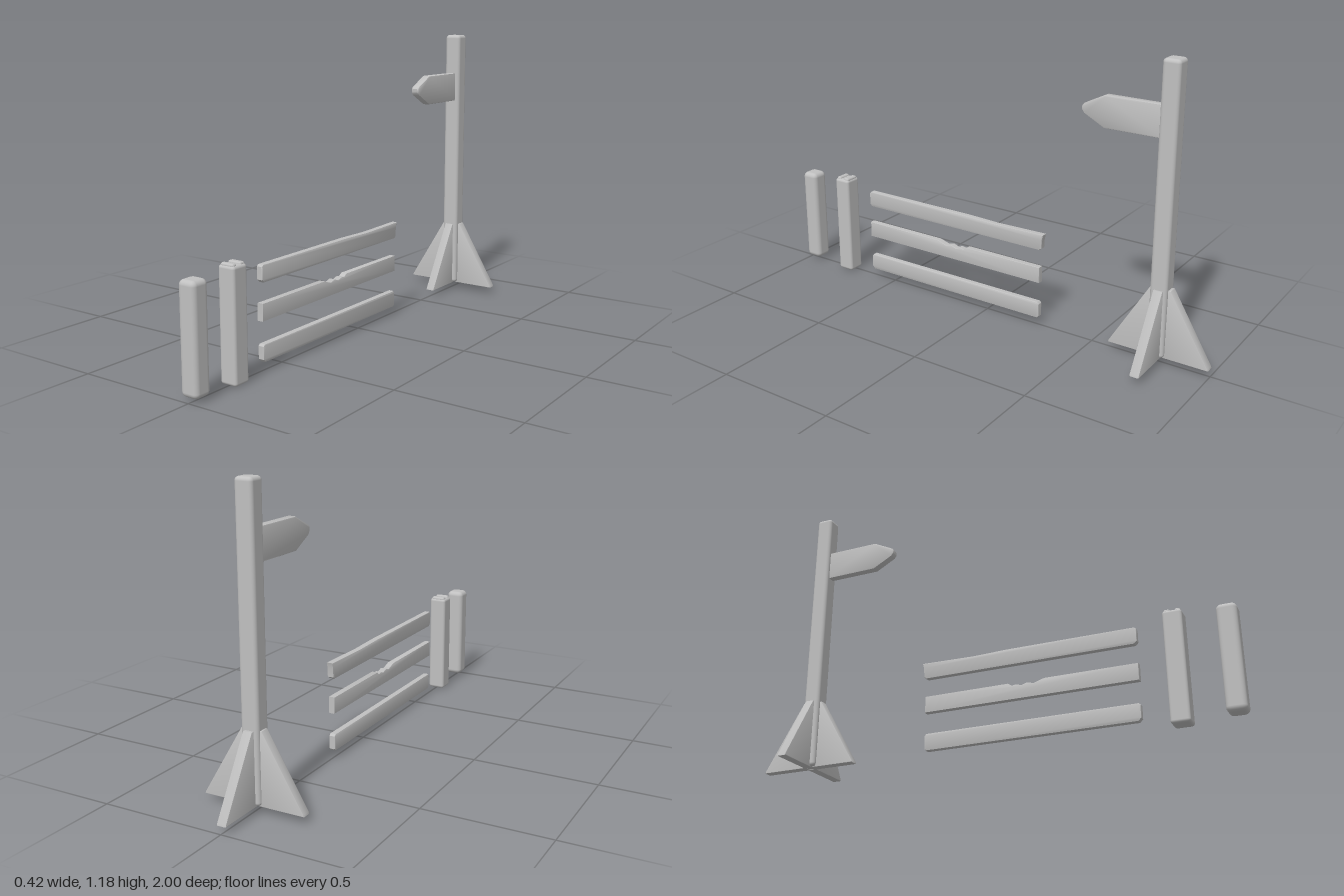
import * as THREE from 'three';
import { toCreasedNormals } from 'three/addons/utils/BufferGeometryUtils.js';
import { RoundedBoxGeometry } from 'three/addons/geometries/RoundedBoxGeometry.js';

export function createModel() {
  const group = new THREE.Group();
  const grey = new THREE.MeshStandardMaterial({ color: 0xc0c0c0 });
  grey.name = 'plainGrey';

  const add = (name, geometry, parent = group) => {
    const mesh = new THREE.Mesh(geometry, grey);
    mesh.name = name;
    parent.add(mesh);
    return mesh;
  };

  // Plate with a side outline of [z, y] points, centred on x = 0
  const plate = (points, thickness, bevel) => {
    const shape = new THREE.Shape(points.map(([z, y]) => new THREE.Vector2(z, y)));
    const geometry = new THREE.ExtrudeGeometry(shape, {
      depth: thickness - 2 * bevel, bevelThickness: bevel, bevelSize: bevel,
      bevelOffset: -bevel, bevelSegments: 2,
    });
    geometry.translate(0, 0, bevel - thickness / 2);
    geometry.rotateY(-Math.PI / 2);
    return toCreasedNormals(geometry, 0.7);
  };

  // Upright block with rounded edges, from y0 to y1
  const upright = (name, width, depth, y0, y1, z, radius) => {
    const mesh = add(name, new RoundedBoxGeometry(width, y1 - y0, depth, 3, radius));
    mesh.position.set(0, (y0 + y1) / 2, z);
    return mesh;
  };

  // Signpost with its pointed board
  const poleZ = -0.785;
  upright('signPole', 0.072, 0.07, 0.03, 1.183, poleZ, 0.015);
  add('signBoard', plate([
    [-0.76, 0.887], [-0.525, 0.887], [-0.44, 0.932], [-0.431, 0.945],
    [-0.431, 0.96], [-0.44, 0.97], [-0.525, 1.012], [-0.76, 1.012],
  ], 0.036, 0.006));

  // Four triangular braces around the foot of the pole
  const braces = new THREE.Group();
  braces.name = 'braces';
  braces.position.z = poleZ - 0.003;
  group.add(braces);
  for (let i = 0; i < 4; i++) {
    const brace = add('brace', plate([
      [0.01, 0.028], [0.208, 0.028], [0.206, 0.036], [0.042, 0.31], [0.01, 0.31],
    ], 0.038, 0.003), braces);
    brace.rotation.y = i * Math.PI / 2;
  }

  // Fence posts; the inner one has a chipped top
  upright('frontPost', 0.076, 0.076, 0.015, 0.427, 0.962, 0.02);
  upright('innerPost', 0.074, 0.074, 0, 0.436, 0.764, 0.012);
  for (const [z, depth] of [[0.785, 0.022], [0.744, 0.026]]) {
    upright('postChip', 0.06, depth, 0.42, 0.443, z, 0.008);
  }

  // Fence rails, with slightly different worn ends
  add('topRail', plate([
    [0.61, 0.334], [-0.255, 0.334], [-0.266, 0.342], [-0.268, 0.38], [-0.274, 0.402],
    [-0.05, 0.398], [0.1, 0.402], [0.614, 0.402], [0.621, 0.394], [0.621, 0.345],
  ], 0.028, 0.005));
  add('middleRail', plate([
    [0.621, 0.19], [-0.258, 0.19], [-0.258, 0.258], [0.1, 0.258], [0.115, 0.247],
    [0.135, 0.25], [0.155, 0.243], [0.18, 0.251], [0.205, 0.244], [0.228, 0.251],
    [0.25, 0.258], [0.621, 0.258],
  ], 0.028, 0.004));
  add('bottomRail', plate([
    [0.608, 0.033], [-0.25, 0.033], [-0.258, 0.041], [-0.258, 0.095],
    [-0.25, 0.103], [0.612, 0.103], [0.62, 0.095], [0.62, 0.045],
  ], 0.028, 0.006));

  return group;
}
